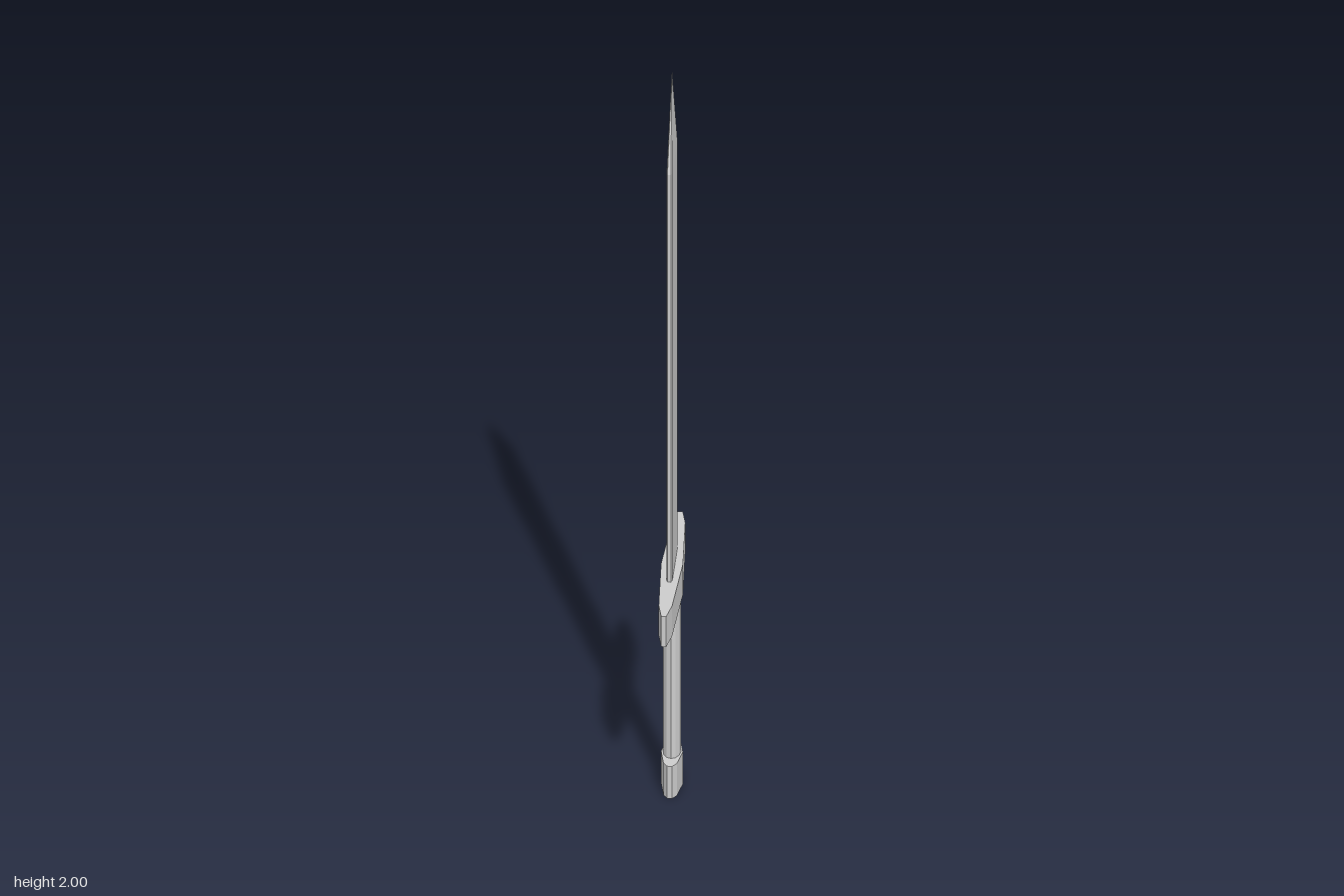
import * as THREE from 'three';

const material = new THREE.MeshStandardMaterial({ color: 0xcccccc, flatShading: true });

// Full outline [x, z] from the points of one quarter, running from +z round to +x.
function mirrorQuarter(quarter) {
  const back = quarter.map(([x, z]) => [x, -z]).reverse();
  const half = [...quarter, ...back].filter(
    ([x, z], i, all) => i === 0 || x !== all[i - 1][0] || Math.abs(z - all[i - 1][1]) > 1e-6);
  return [...half, ...half.map(([x, z]) => [-x, -z])];
}

// Stacks scaled copies of an outline along y; levels are [y, scale], scale 0 makes a point.
function loft(name, outline, levels) {
  const positions = [];
  const n = outline.length;
  const at = (i, [y, s]) => [outline[i % n][0] * s, y, outline[i % n][1] * s];
  const tri = (a, b, c) => positions.push(...a, ...b, ...c);
  const first = levels[0], last = levels[levels.length - 1];
  for (let i = 0; i < n; i++) {
    for (let k = 0; k < levels.length - 1; k++) {
      const lo = levels[k], hi = levels[k + 1];
      tri(at(i, lo), at(i + 1, lo), at(i + 1, hi));
      if (hi[1] > 0) tri(at(i, lo), at(i + 1, hi), at(i, hi));
      else positions.splice(-3, 3, 0, hi[0], 0);
    }
    tri([0, first[0], 0], at(i + 1, first), at(i, first));
    if (last[1] > 0) tri([0, last[0], 0], at(i, last), at(i + 1, last));
  }
  const geometry = new THREE.BufferGeometry();
  geometry.setAttribute('position', new THREE.Float32BufferAttribute(positions, 3));
  geometry.computeVertexNormals();
  const mesh = new THREE.Mesh(geometry, material);
  mesh.name = name;
  return mesh;
}

export function createModel() {
  const group = new THREE.Group();
  group.name = 'sword';

  // Thin flat blade with bevelled edges, drawn to a point
  const bladeOutline = mirrorQuarter([[0.004, 0.082], [0.007, 0.073]]);
  group.add(loft('blade', bladeOutline, [[0.6, 1], [1.755, 1], [2, 0]]));

  // Crossguard tapering towards both ends
  const guardOutline = mirrorQuarter([[0.006, 0.236], [0.016, 0.187], [0.026, 0]]);
  group.add(loft('crossguard', guardOutline, [[0.53, 1], [0.615, 1]]));

  // Oval grip
  const gripOutline = Array.from({ length: 12 }, (_, i) => {
    const a = (i / 12) * Math.PI * 2;
    return [0.021 * Math.sin(a), 0.032 * Math.cos(a)];
  });
  group.add(loft('grip', gripOutline, [[0.08, 1], [0.54, 1]]));

  // Pommel, a shorter block of the same form as the guard
  const pommelOutline = mirrorQuarter([[0.006, 0.067], [0.016, 0.053], [0.026, 0]]);
  group.add(loft('pommel', pommelOutline, [[0, 1], [0.09, 1]]));

  return group;
}
